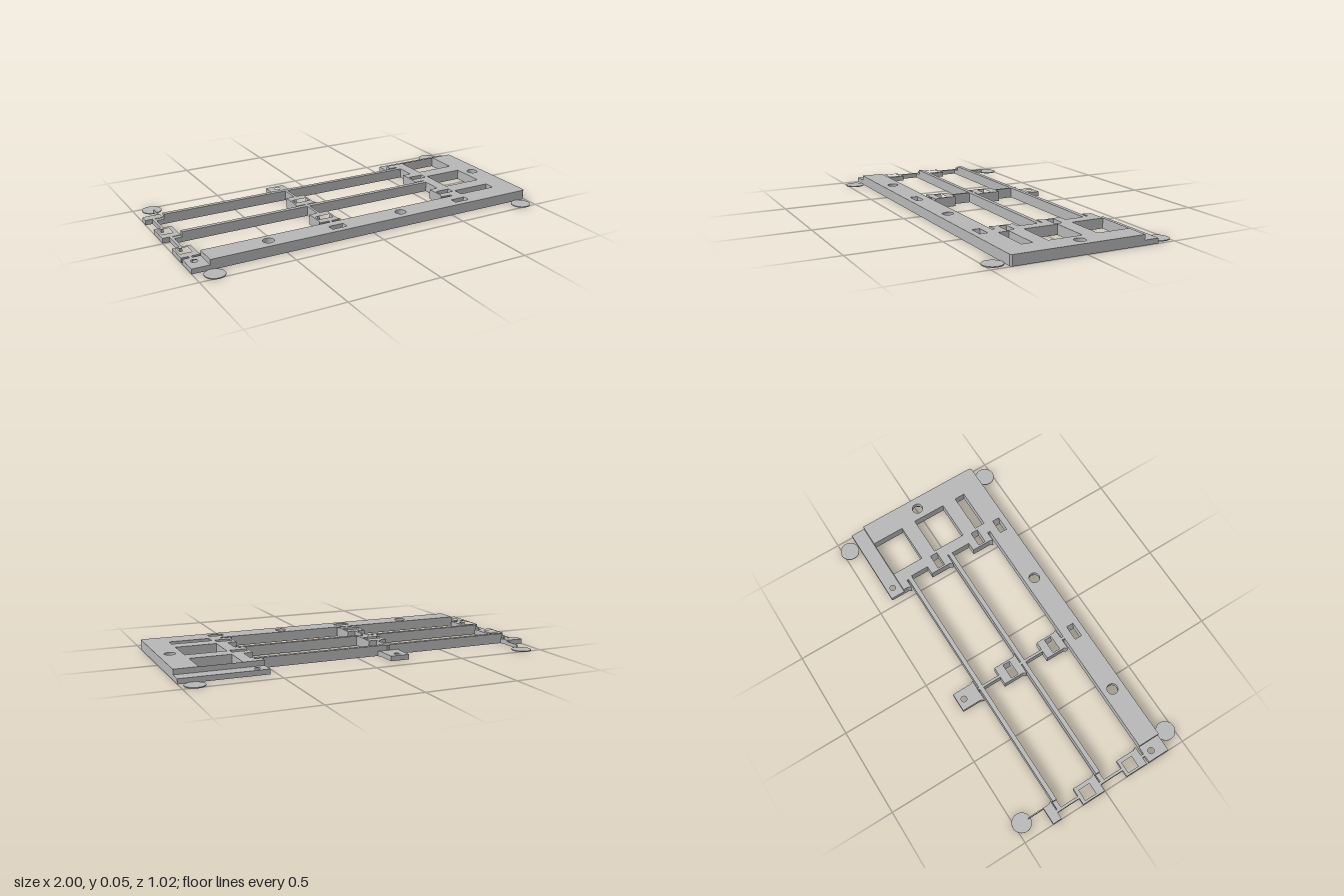
import * as THREE from 'three';

const FULL = 0.055, LOW = 0.027, NUT = 0.025, FILM = 0.005;
const grey = new THREE.MeshStandardMaterial({ color: 0xb6b6b6 });
grey.name = 'plain grey';

// outlines are lists of [x, z]
const rect = (x0, x1, z0, z1) => [[x0, z0], [x1, z0], [x1, z1], [x0, z1]];
const ring = (x, z, r, n = 24) => Array.from({ length: n }, (_, i) => {
  const a = (i / n) * Math.PI * 2;
  return [x + r * Math.cos(a), z + r * Math.sin(a)];
});
const toPoints = list => list.map(([x, z]) => new THREE.Vector2(x, -z));

export function createModel() {
  const group = new THREE.Group();

  // flat slab between two heights, with through holes
  function slab(name, outline, y0, y1, holes = []) {
    const shape = new THREE.Shape(toPoints(outline));
    holes.forEach(h => shape.holes.push(new THREE.Path(toPoints(h))));
    const geo = new THREE.ExtrudeGeometry(shape, { depth: y1 - y0, bevelEnabled: false });
    geo.rotateX(-Math.PI / 2);
    geo.translate(0, y0, 0);
    const mesh = new THREE.Mesh(geo, grey);
    mesh.name = name;
    group.add(mesh);
  }

  // sloping ends inside a clip slot
  function slotRamps(x, z) {
    for (const s of [-1, 1]) {
      const tri = [[s * 0.043, 0], [s * 0.031, 0], [s * 0.043, FULL]];
      const shape = new THREE.Shape(tri.map(p => new THREE.Vector2(...p)));
      const geo = new THREE.ExtrudeGeometry(shape, { depth: 0.042, bevelEnabled: false });
      geo.translate(x, 0, z - 0.021);
      const mesh = new THREE.Mesh(geo, grey);
      mesh.name = 'slotRamp';
      group.add(mesh);
    }
  }
  const slot = (x, z) => rect(x - 0.043, x + 0.043, z - 0.021, z + 0.021);
  const midX = -0.183, rightX = 0.589, leftX = -0.955;
  const slotZ = [-0.071, 0.2, 0.346];

  // front rail and end frame as one body, nut pockets in the lower layer
  const body = [
    [-0.905, 0.402], [0.99, 0.402], [1, 0.392], [1, -0.325], [0.535, -0.325],
    [0.535, -0.295], [0.525, -0.28], [0.585, -0.28], [0.585, -0.14], [0.535, -0.14],
    [0.535, -0.025], [0.525, -0.006], [0.585, -0.006], [0.585, 0.135], [0.535, 0.135],
    [0.535, 0.245], [0.525, 0.262], [0.585, 0.262], [0.585, 0.278], [-0.905, 0.278],
  ];
  const openings = [
    rect(0.648, 0.872, -0.324, -0.14), rect(0.648, 0.872, -0.055, 0.135),
    rect(0.648, 0.872, 0.218, 0.277),
    ...slotZ.map(z => slot(rightX, z)), slot(midX, slotZ[2]),
  ];
  const bolts = [[-0.57, 0.336], [0.205, 0.336], [0.935, 0]];
  slab('frameLower', body, 0, NUT, [...openings, ...bolts.map(([x, z]) => ring(x, z, 0.045, 6))]);
  slab('frameUpper', body, NUT, FULL, [...openings, ...bolts.map(([x, z]) => ring(x, z, 0.03))]);
  slotZ.forEach(z => { slotRamps(rightX, z); slotRamps(midX, z); });

  // low overlapping edges with small screw holes
  slab('railLap', rect(-1, -0.905, 0.278, 0.402), 0, LOW, [ring(leftX, 0.322, 0.017)]);
  slab('backLap', rect(0.535, 1, -0.405, -0.325), 0, LOW, [ring(rightX, -0.368, 0.016)]);

  // block whose front edge flares outwards
  const flared = (x, z0, z1) => [
    [x - 0.053, z0], [x + 0.053, z0], [x + 0.053, z1 - 0.018], [x + 0.063, z1],
    [x - 0.063, z1], [x - 0.053, z1 - 0.018],
  ];
  slab('middleBackTab', flared(midX, -0.405, -0.276), 0, LOW, [ring(midX, -0.368, 0.016)]);
  slab('middleBlock', flared(midX, -0.14, -0.006), 0, FULL, [slot(midX, slotZ[0])]);
  slab('middleBlock', flared(midX, 0.135, 0.262), 0, FULL, [slot(midX, slotZ[1])]);

  // low blocks along the open end, flared on the inner side only
  const endBlock = (z0, z1) => [
    [-1, z0], [-0.903, z0], [-0.903, z1 - 0.018], [-0.893, z1], [-1, z1],
  ];
  slab('endBackTab', endBlock(-0.327, -0.276), 0, LOW);
  slab('endBlock', endBlock(-0.14, -0.006), 0, LOW, [rect(-0.988, -0.925, -0.12, -0.052)]);
  slab('endBlock', endBlock(0.135, 0.262), 0, LOW, [rect(-0.988, -0.925, 0.153, 0.217)]);

  // long thin bars, stepping down at the open end
  for (const z of [-0.27, 0]) {
    slab('longBar', rect(-0.905, 0.585, z, z + 0.024), 0, FULL);
    slab('longBarEnd', rect(-0.962, -0.905, z, z + 0.024), 0, LOW);
  }

  // narrow links between blocks and bars
  const gaps = [[-0.278, -0.268], [-0.248, -0.138], [-0.008, 0.002], [0.022, 0.137], [0.26, 0.28]];
  for (const [z0, z1] of gaps) {
    slab('middleLink', rect(midX - 0.007, midX + 0.007, z0, z1), 0, FULL);
    slab('endLink', rect(leftX - 0.007, leftX + 0.007, z0, z1), 0, LOW);
  }
  slab('frameLink', rect(0.575, 0.587, -0.282, -0.244), 0, FULL);

  // thin round corner pads and the strand to the back one
  for (const x of [-0.905, 0.93]) {
    for (const z of [-0.46, 0.456]) slab('cornerPad', ring(x, z, 0.053, 32), 0, FILM);
  }
  slab('padStrand', rect(-0.908, -0.902, -0.42, -0.32), 0, 0.02);
  return group;
}
